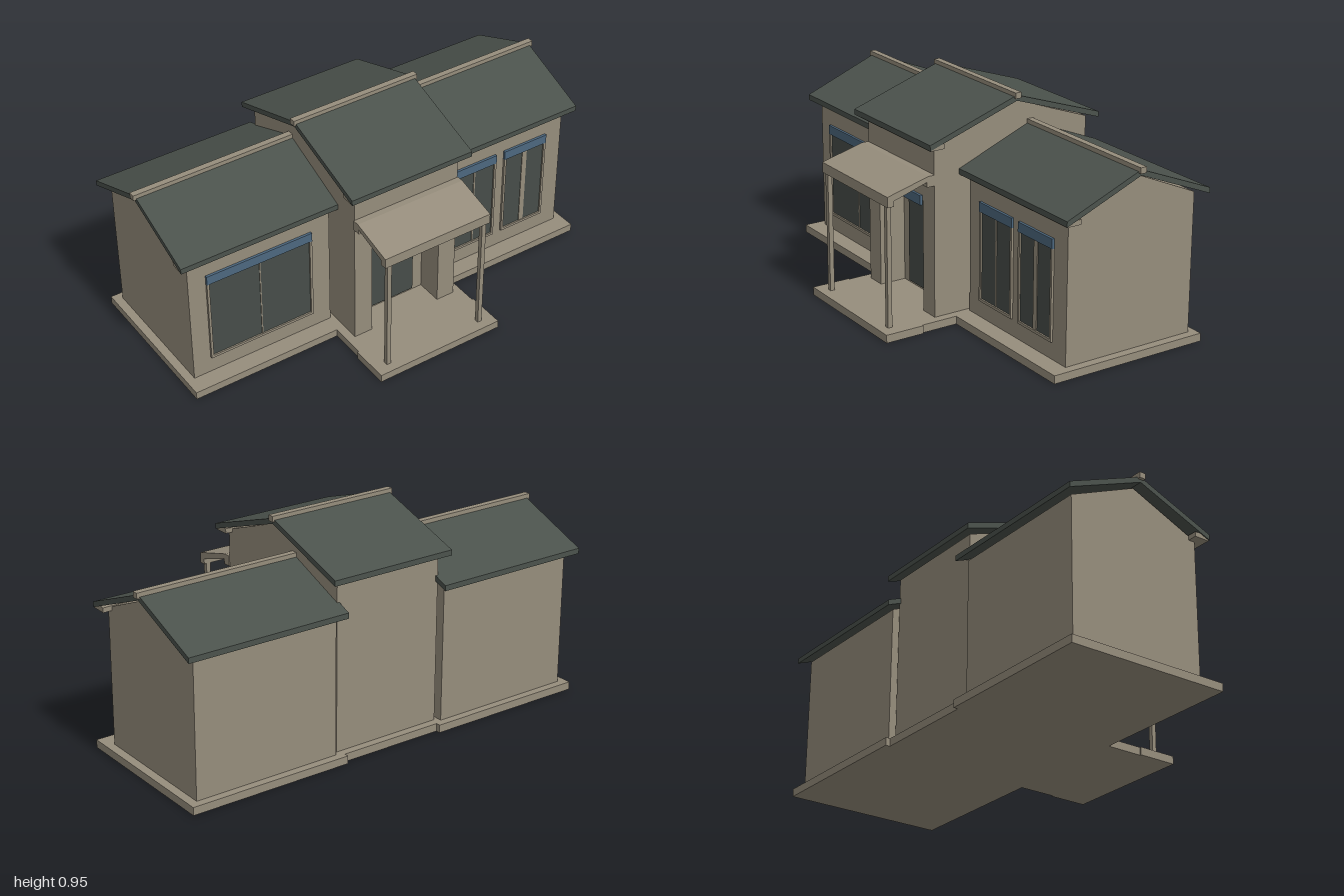
import * as THREE from 'three';

const material = (name, color) => {
  const m = new THREE.MeshStandardMaterial({ color });
  m.name = name;
  return m;
};

export function createModel() {
  const wall = material('stone', 0x968d7c);
  const roofing = material('slate', 0x4b524c);
  const glass = material('darkGlass', 0x474d49);
  const blue = material('blueTrim', 0x4d687f);
  const model = new THREE.Group();
  model.name = 'house';

  const add = (parent, name, geometry, mat) => {
    const mesh = new THREE.Mesh(geometry, mat);
    mesh.name = name;
    parent.add(mesh);
    return mesh;
  };
  const group = (name) => {
    const g = new THREE.Group();
    g.name = name;
    model.add(g);
    return g;
  };
  // Box given by its limits on each axis
  const box = (parent, name, mat, [x0, x1], [y0, y1], [z0, z1]) => {
    const mesh = add(parent, name, new THREE.BoxGeometry(x1 - x0, y1 - y0, z1 - z0), mat);
    mesh.position.set((x0 + x1) / 2, (y0 + y1) / 2, (z0 + z1) / 2);
    return mesh;
  };
  // Prism running along x from a [z, y] profile
  const prism = (parent, name, mat, x0, x1, profile) => {
    const shape = new THREE.Shape(profile.map(([z, y]) => new THREE.Vector2(-z, y)));
    const geometry = new THREE.ExtrudeGeometry(shape, { depth: x1 - x0, bevelEnabled: false });
    geometry.rotateY(Math.PI / 2).translate(x0, 0, 0);
    return add(parent, name, geometry, mat);
  };
  // Pitched roof with ridge cap and front soffit
  const roof = (parent, [x0, x1], [c0, c1], front, back, eave, peak) => {
    const mid = (front + back) / 2, t = 0.024;
    prism(parent, 'roof', roofing, x0, x1, [
      [front, eave], [mid, peak], [back, eave],
      [back, eave - t], [mid, peak - t], [front, eave - t],
    ]);
    box(parent, 'ridgeCap', wall, [c0, c1], [peak - 0.012, peak + 0.013], [mid - 0.014, mid + 0.014]);
    box(parent, 'soffit', wall, [x0 + 0.004, x1 - 0.004], [eave - 0.027, eave - 0.006], [front - 0.07, front - 0.003]);
  };

  // Foundation slabs
  const base = group('foundation');
  for (const s of [-1, 1]) {
    const xs = [0.24 * s, 0.98 * s].sort((a, b) => a - b);
    box(base, 'wingSlab', wall, xs, [0, 0.035], [-0.53, 0.2]);
  }
  box(base, 'centreSlab', wall, [-0.295, 0.295], [0, 0.035], [-0.51, 0.37]);
  box(base, 'porchSlab', wall, [-0.302, 0.302], [0, 0.035], [0.365, 0.54]);

  // Two matching wings
  for (const s of [-1, 1]) {
    const span = (a, b) => (s > 0 ? [a, b] : [-b, -a]);
    const wing = group(s > 0 ? 'leftWing' : 'rightWing');
    const xs = span(0.275, 0.942);
    box(wing, 'wingWalls', wall, xs, [0.035, 0.638], [-0.495, 0.12]);
    prism(wing, 'wingGable', wall, xs[0], xs[1], [[0.12, 0.638], [-0.19, 0.77], [-0.495, 0.638]]);
    roof(wing, span(0.245, 0.987), span(0.245, 1), 0.16, -0.537, 0.66, 0.8);
  }

  // Centre block with a recessed entrance
  const centre = group('centreBlock');
  box(centre, 'centreWalls', wall, [-0.256, 0.256], [0.035, 0.775], [-0.475, 0.16]);
  box(centre, 'entranceHeader', wall, [-0.256, 0.256], [0.52, 0.775], [0.16, 0.28]);
  for (const s of [-1, 1]) {
    const xs = s > 0 ? [0.17, 0.256] : [-0.256, -0.17];
    box(centre, 'entrancePier', wall, xs, [0.035, 0.52], [0.16, 0.28]);
  }
  prism(centre, 'centreGable', wall, -0.256, 0.256, [[0.28, 0.775], [-0.095, 0.91], [-0.475, 0.775]]);
  roof(centre, [-0.295, 0.295], [-0.305, 0.305], 0.323, -0.513, 0.797, 0.937);
  box(centre, 'entranceTrim', blue, [-0.167, 0.167], [0.5, 0.542], [0.279, 0.291]);

  // Front door
  const door = group('frontDoor');
  box(door, 'doorPanel', glass, [-0.123, 0.12], [0.045, 0.5], [0.158, 0.166]);
  box(door, 'doorHandle', roofing, [0.066, 0.072], [0.24, 0.3], [0.165, 0.175]);

  // Windows: glass, raised frame, mullion and blue head trim
  const windowAt = (x0, x1, mullion) => {
    const w = group('window');
    const b = 0.011, mid = (x0 + x1) / 2;
    box(w, 'windowGlass', glass, [x0 + b, x1 - b], [0.12, 0.5], [0.118, 0.123]);
    for (const x of [x0, x1 - b]) box(w, 'windowJamb', wall, [x, x + b], [0.11, 0.5], [0.118, 0.13]);
    box(w, 'windowSill', wall, [x0, x1], [0.11, 0.122], [0.118, 0.13]);
    box(w, 'windowMullion', wall, [mid - mullion / 2, mid + mullion / 2], [0.12, 0.5], [0.118, 0.126]);
    box(w, 'windowTrim', blue, [x0, x1], [0.5, 0.542], [0.118, 0.131]);
  };
  windowAt(-0.861, -0.364, 0.005);
  windowAt(0.356, 0.584, 0.007);
  windowAt(0.628, 0.855, 0.024);

  // Porch canopy on two posts
  const porch = group('porch');
  prism(porch, 'canopy', wall, -0.26, 0.26, [
    [0.28, 0.656], [0.31, 0.656], [0.503, 0.605], [0.503, 0.56], [0.473, 0.56],
    [0.473, 0.583], [0.316, 0.632], [0.316, 0.61], [0.28, 0.61],
  ]);
  for (const s of [-1, 1]) {
    const x = 0.235 * s;
    box(porch, 'porchPost', wall, [x - 0.01, x + 0.01], [0.035, 0.562], [0.478, 0.498]);
  }
  return model;
}
